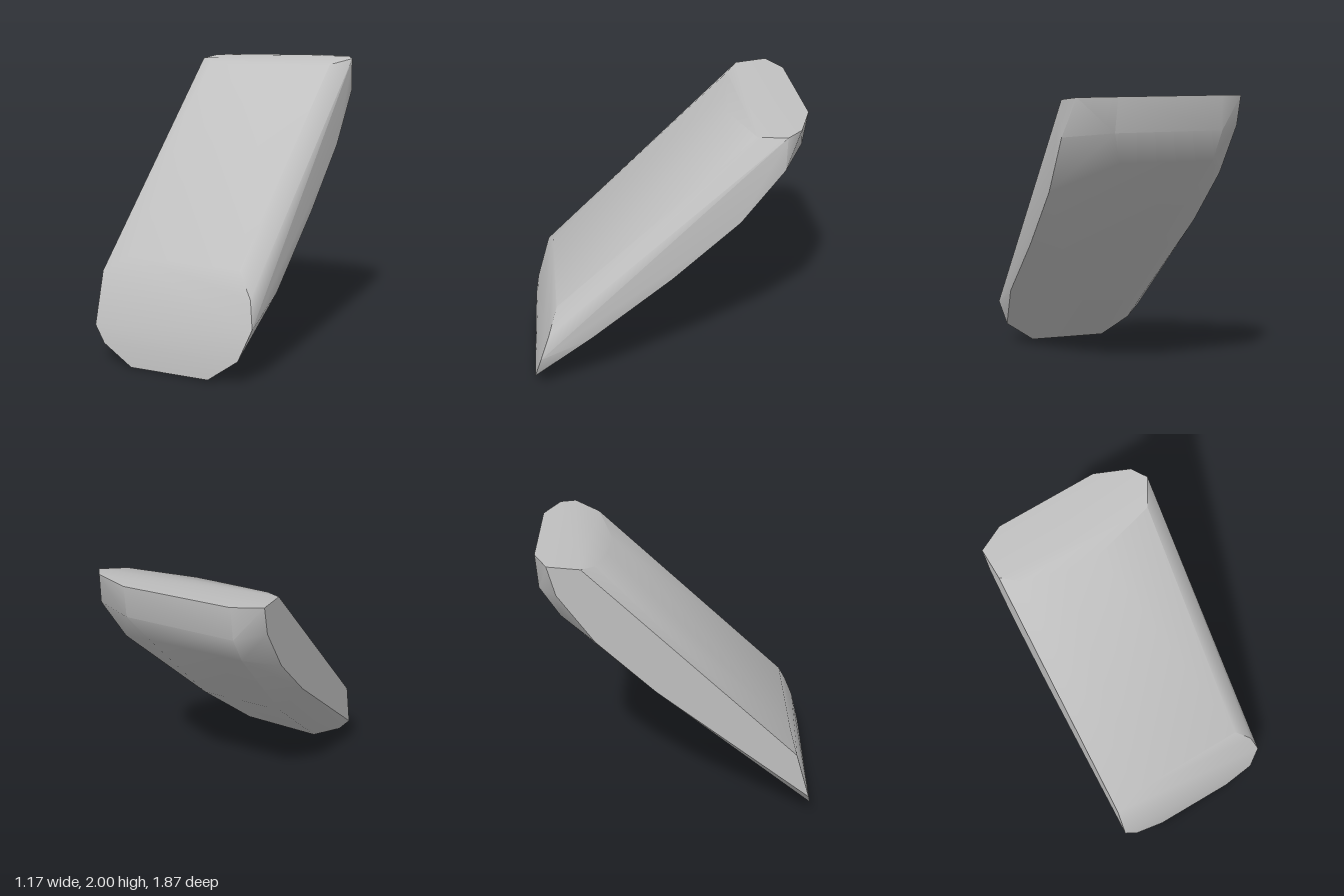
import * as THREE from 'three';
import { ConvexGeometry } from 'three/addons/geometries/ConvexGeometry.js';
import { toCreasedNormals } from 'three/addons/utils/BufferGeometryUtils.js';

// Corners of the lower end, a clipped oblong facing forward
const lowerEnd = [
  [-0.585, 0.24, 0.88], [-0.5, 0.13, 0.905], [-0.28, 0, 0.92], [0.3, 0.01, 0.93], [0.51, 0.16, 0.925],
  [0.585, 0.36, 0.875], [0.54, 0.53, 0.81], [0.43, 0.69, 0.745], [-0.4, 0.7, 0.745], [-0.585, 0.59, 0.78],
];

// Corners of the upper end, nearly level
const upperEnd = [
  [-0.585, 1.995, -0.83], [-0.41, 2, -0.92], [0.29, 2, -0.935], [0.52, 1.995, -0.84], [0.585, 1.98, -0.74],
  [0.48, 1.94, -0.57], [0.05, 1.91, -0.455], [-0.2, 1.92, -0.475], [-0.48, 1.95, -0.54], [-0.585, 1.975, -0.62],
];

// Rear edges of the two flat sides
const sideEdges = [
  [0.585, 0.52, 0.52], [0.585, 0.97, -0.03], [0.585, 1.38, -0.47], [0.585, 1.75, -0.74],
  [-0.585, 1.8, -0.78], [-0.585, 1.47, -0.55], [-0.585, 1.1, -0.17],
];

// Underside rows: [left x, right x, y, z]
const undersideRows = [
  [0.3, -0.42, 1.78, -0.905],
  [0.22, -0.42, 1.58, -0.78],
  [0.28, -0.32, 0.72, 0.08],
];

export function createModel() {
  const stone = new THREE.MeshStandardMaterial({ color: 0xc0c0c0 });
  stone.name = 'pale grey';

  const points = [...lowerEnd, ...upperEnd, ...sideEdges].map((p) => new THREE.Vector3(...p));
  for (const [left, right, y, z] of undersideRows) {
    points.push(new THREE.Vector3(left, y, z), new THREE.Vector3(right, y, z));
  }

  // One leaning slab with softened bevels and sharp main edges
  const slab = new THREE.Mesh(toCreasedNormals(new ConvexGeometry(points), 0.6), stone);
  slab.name = 'leaningSlab';

  const group = new THREE.Group();
  group.name = 'slantedStone';
  group.add(slab);
  return group;
}
